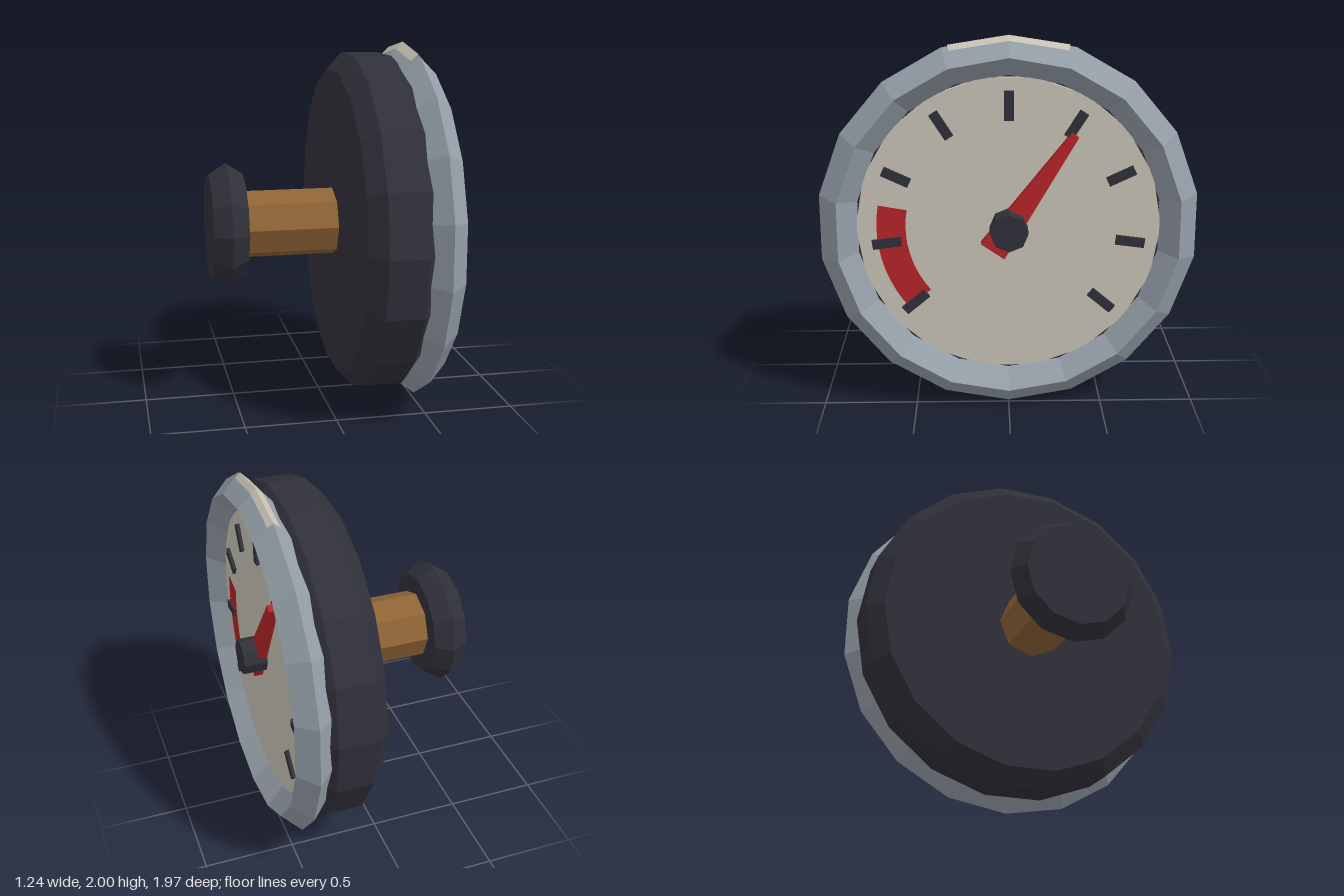
import * as THREE from 'three';

const mat = (name, color, side = THREE.FrontSide) => {
  const m = new THREE.MeshStandardMaterial({ color, flatShading: true, side });
  m.name = name;
  return m;
};

export function createModel() {
  const dark = mat('charcoal', 0x30303a);
  const steel = mat('steel grey', 0x959fa8);
  const cream = mat('cream', 0xc9c4b6, THREE.DoubleSide);
  const brass = mat('brass brown', 0x8f6436);
  const red = mat('red', 0xb82428);

  // The gauge is built facing +z, then turned to face +x
  const gauge = new THREE.Group();
  gauge.name = 'gauge';

  const add = (name, geo, material, parent = gauge) => {
    const flat = geo.index ? geo.toNonIndexed() : geo;
    flat.computeVertexNormals();
    const mesh = new THREE.Mesh(flat, material);
    mesh.name = name;
    parent.add(mesh);
    return mesh;
  };
  // Turned part from [radius, z] pairs; start 0 puts a corner at the bottom
  const turned = (profile, sides, start = 0, sweep = Math.PI * 2) =>
    new THREE.LatheGeometry(profile.map(p => new THREE.Vector2(...p)), sides, start, sweep)
      .rotateX(Math.PI / 2);

  // Case, stem and knob
  add('case', turned([[0, 0.08], [0.86, 0.08], [0.95, 0.165], [0.95, 0.37], [0.86, 0.455], [0, 0.455]],
    18, Math.PI / 2), dark);
  add('stem', turned([[0, -0.45], [0.19, -0.45], [0.19, 0.1], [0, 0.1]], 8), brass);
  add('knob', turned([[0, -0.62], [0.29, -0.62], [0.35, -0.525], [0.29, -0.43], [0, -0.43]], 12), dark);

  // Bezel ring with a pale patch on its top ridge
  add('bezel', turned([[0.9, 0.38], [1, 0.48], [0.9, 0.58], [0.8, 0.48], [0.9, 0.38]], 18), steel);
  const step = Math.PI / 9;
  add('bezelPatch', turned([[0.963, 0.44], [1.002, 0.48], [0.975, 0.509]], 2, Math.PI - step * 0.9, step * 1.8), cream);

  // Dial face
  const face = 0.485;
  add('dial', turned([[0, 0.45], [0.8, 0.45], [0.8, face], [0, face]], 18, Math.PI / 2), cream);

  // Red warning arc, angles measured from the top towards the left
  const rad = THREE.MathUtils.degToRad;
  const arc = new THREE.RingGeometry(0.54, 0.692, 10, 1, rad(90 + 80), rad(50));
  add('warningArc', arc.translate(0, 0, face + 0.006), red);

  // Scale marks
  for (let i = -4; i <= 4; i++) {
    const tick = add('scaleMark', new THREE.BoxGeometry(0.05, 0.153, 0.02).translate(0, 0.645, face + 0.008), dark);
    tick.rotation.z = rad(32.5 * i);
  }

  // Tapered needle with its short wide tail, and the hub
  const needle = new THREE.BoxGeometry(1, 0.75, 0.05).translate(0, 0.225, face + 0.025);
  const p = needle.attributes.position;
  for (let i = 0; i < p.count; i++) p.setX(i, p.getX(i) * (p.getY(i) > 0 ? 0.04 : 0.15));
  add('needle', needle, red).rotation.z = rad(-34.5);
  add('hub', turned([[0, 0.48], [0.1, 0.48], [0.1, 0.615], [0, 0.615]], 8), dark);

  gauge.rotation.y = Math.PI / 2;
  gauge.position.y = 1;
  const model = new THREE.Group();
  model.name = 'dialGauge';
  model.add(gauge);
  return model;
}
